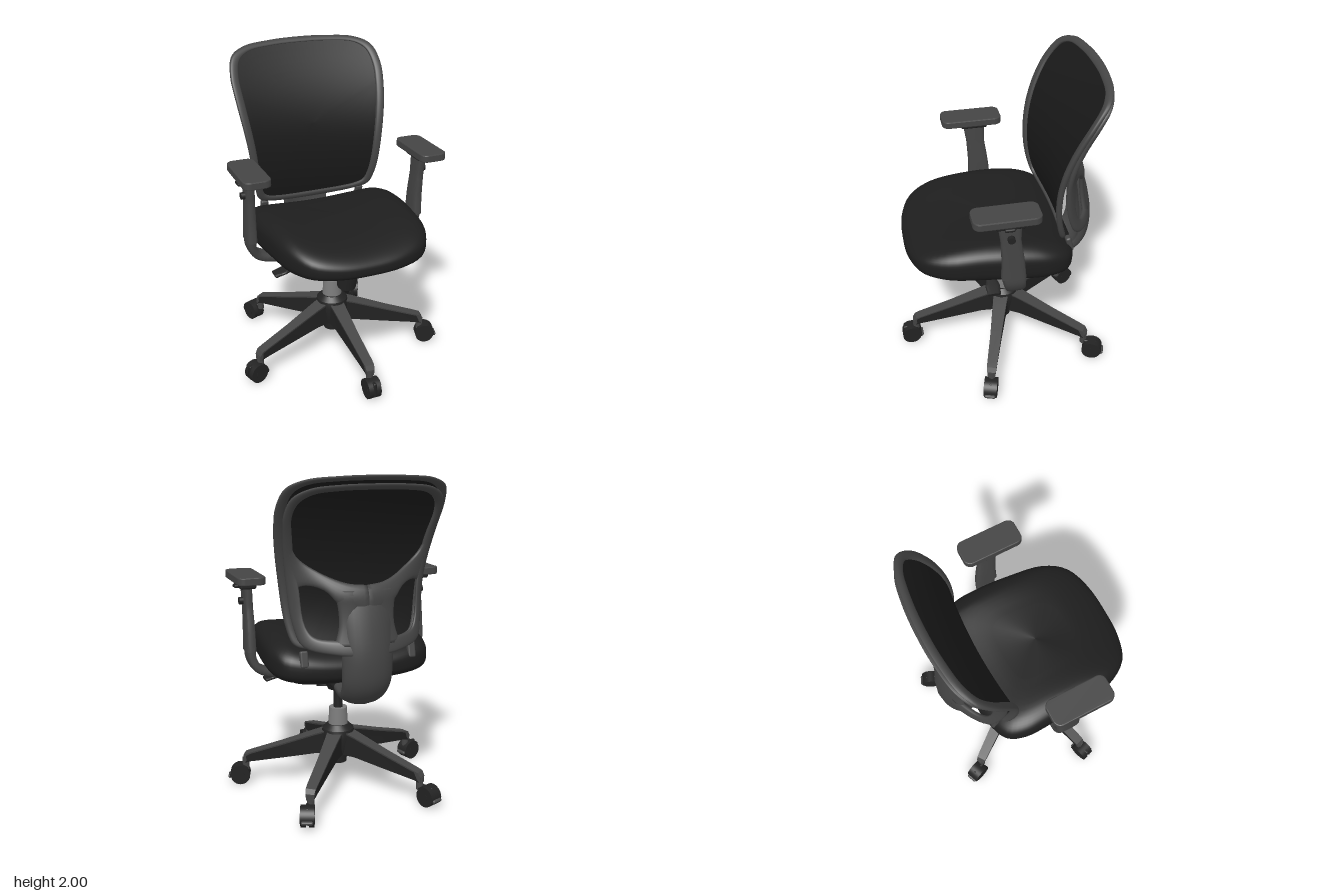
import * as THREE from 'three';
import { toCreasedNormals } from 'three/addons/utils/BufferGeometryUtils.js';
import { RoundedBoxGeometry } from 'three/addons/geometries/RoundedBoxGeometry.js';

const V = (x, y, z) => new THREE.Vector3(x, y, z);
const mat = (name, color) => {
  const m = new THREE.MeshStandardMaterial({ color, side: THREE.DoubleSide });
  m.name = name;
  return m;
};

// skin over a list of closed point rings; wrap joins last ring to first
function loft(rings, { wrap = false, cap = false, crease = 0 } = {}) {
  const n = rings[0].length, m = rings.length, pos = [], idx = [];
  rings.forEach(r => r.forEach(p => pos.push(p.x, p.y, p.z)));
  for (let i = 0; i < (wrap ? m : m - 1); i++) for (let j = 0; j < n; j++) {
    const k = (i + 1) % m, l = (j + 1) % n;
    idx.push(i * n + j, i * n + l, k * n + j, i * n + l, k * n + l, k * n + j);
  }
  if (cap) [0, m - 1].forEach(i => {
    const c = rings[i].reduce((a, p) => a.add(p), V(0, 0, 0)).divideScalar(n), ci = pos.length / 3;
    pos.push(c.x, c.y, c.z);
    for (let j = 0; j < n; j++) {
      const a = i * n + j, b = i * n + (j + 1) % n;
      i ? idx.push(a, b, ci) : idx.push(b, a, ci);
    }
  });
  const g = new THREE.BufferGeometry();
  g.setAttribute('position', new THREE.Float32BufferAttribute(pos, 3));
  g.setIndex(idx);
  g.computeVertexNormals();
  return crease ? toCreasedNormals(g, crease) : g;
}

// value from an evenly spaced list
function at(list, u) {
  if (!Array.isArray(list)) return list;
  const f = u * (list.length - 1), i = Math.min(Math.floor(f), list.length - 2);
  return THREE.MathUtils.lerp(list[i], list[i + 1], f - i);
}

// rounded flat section swept along a path; side is the fixed width direction
function sweep(pts, side, width, thick, bow = 0, steps = 28) {
  const curve = new THREE.CatmullRomCurve3(pts.map(p => V(...p))), rings = [];
  const pw = v => Math.sign(v) * Math.abs(v) ** 0.55;
  for (let i = 0; i <= steps; i++) {
    const u = i / steps, p = curve.getPoint(u), n = side.clone().cross(curve.getTangent(u)).normalize();
    const ring = [];
    for (let j = 0; j < 28; j++) {
      const a = j / 28 * Math.PI * 2, cx = pw(Math.cos(a)), cy = pw(Math.sin(a));
      ring.push(p.clone().addScaledVector(side, at(width, u) * cx)
        .addScaledVector(n, at(thick, u) * cy + at(bow, u) * cx * cx));
    }
    rings.push(ring);
  }
  return loft(rings, { cap: true, crease: 0.9 });
}

// symmetric closed outline from half of its points
function outline(half, count) {
  const all = half.concat(half.slice(1, -1).reverse().map(([x, y]) => [-x, y]));
  const c = new THREE.CatmullRomCurve3(all.map(([x, y]) => V(x, y, 0)), true);
  return Array.from({ length: count }, (_, i) => c.getPoint(i / count));
}

// flat bar between two edge lines, bent onto the surface z = zf(x, y)
function bar(A, B, zf, thick, wrap) {
  return loft(A.map((a, i) => Array.from({ length: 16 }, (_, j) => {
    const t = j / 16 * Math.PI * 2, p = a.clone().lerp(B[i], 0.5 + 0.5 * Math.cos(t));
    const s = Math.sin(t);
    return p.setZ(zf(p.x, p.y) + thick * Math.sign(s) * Math.abs(s) ** 0.6);
  })), { wrap, cap: !wrap });
}

export function createModel() {
  const fabric = mat('seat fabric', 0x1e1e1e), mesh = mat('back mesh', 0x1a1a1a);
  const grey = mat('grey plastic', 0x454545), black = mat('black plastic', 0x232323);
  const metal = mat('metal', 0x7c7c7c);
  const root = new THREE.Group();
  const X = V(1, 0, 0), Z = V(0, 0, 1);
  const add = (parent, name, geo, m, x = 0, y = 0, z = 0) => {
    const o = new THREE.Mesh(geo, m);
    o.name = name;
    o.position.set(x, y, z);
    parent.add(o);
    return o;
  };
  const group = (name, parent = root) => {
    const g = new THREE.Group();
    g.name = name;
    parent.add(g);
    return g;
  };
  const cyl = (a, b, h, n = 28) => new THREE.CylinderGeometry(a, b, h, n);

  // seat cushion and pan
  const plan = outline([[0, .6], [.2, .585], [.36, .52], [.45, .38], [.485, .15], [.505, -.1],
    [.5, -.25], [.45, -.36], [.3, -.42], [0, -.44]], 72);
  const top = (x, z) => 1.068 - .3 * (z - .1) ** 2 - .035 * (1 - Math.min(1, (x / .4) ** 2));
  const bottom = z => .79 + .05 * z;
  const seatRing = (s, yf) => plan.map(p => {
    const x = p.x * s, z = .08 + (p.y - .08) * s;
    return V(x, yf(x, z), z);
  });
  const cushion = [];
  for (let i = 0; i <= 32; i++) {
    const a = (i / 32 - .5) * Math.PI, sn = Math.sin(a);
    const s = Math.max(0, Math.cos(a)) ** .35, h = Math.sign(sn) * Math.abs(sn) ** .65;
    cushion.push(seatRing(s, (x, z) => (top(x, z) + bottom(z)) / 2 + h * (top(x, z) - bottom(z)) / 2));
  }
  add(root, 'seatCushion', loft(cushion), fabric);
  add(root, 'seatPan', loft([[.6, -.022], [.74, -.015], [.8, .02]].map(([s, d]) =>
    seatRing(s, (x, z) => bottom(z) + d)), { cap: true, crease: .6 }), black);

  // backrest: front rim and mesh panel
  const back = group('backrest');
  const zMesh = (x, y) => -.272 - .58 * (y - 1.3) ** 2 - .042 * (1 - (x / .5) ** 2);
  const rimOut = outline([[0, 2], [.2, 1.995], [.38, 1.977], [.475, 1.93], [.508, 1.83], [.503, 1.7],
    [.46, 1.4], [.42, 1.12], [.385, 1.03], [.3, 1], [0, .98]], 100);
  const rimIn = outline([[0, 1.97], [.2, 1.966], [.36, 1.948], [.43, 1.905], [.455, 1.82], [.449, 1.7],
    [.41, 1.4], [.372, 1.12], [.345, 1.06], [.28, 1.035], [0, 1.02]], 100);
  add(back, 'backRim', bar(rimOut, rimIn, zMesh, .018, true), grey);
  const panel = [];
  for (let i = 0; i <= 12; i++) panel.push(rimIn.map(p => {
    const q = V(0, 1.5, 0).lerp(p, 1.01 * i / 12);
    return q.setZ(zMesh(q.x, q.y));
  }));
  add(back, 'backMesh', loft(panel), mesh);

  // rear support frame, cupped backwards toward the spine
  const zRear = (x, y) => zMesh(x, y) - .048
    - .16 * (1 - THREE.MathUtils.smoothstep(y, 1.3, 1.62)) * Math.max(0, 1 - (x / .43) ** 2);
  const rearOut = outline([[0, 1.955], [.2, 1.95], [.36, 1.93], [.445, 1.88], [.472, 1.79], [.46, 1.65],
    [.43, 1.4], [.4, 1.15], [.36, 1.04], [.2, 1], [0, .99]], 100);
  const rearIn = outline([[0, 1.92], [.2, 1.915], [.34, 1.895], [.405, 1.85], [.428, 1.78], [.41, 1.65],
    [.37, 1.4], [.34, 1.15], [.3, 1.095], [.2, 1.08], [0, 1.08]], 100);
  add(back, 'rearFrame', bar(rearOut, rearIn, zRear, .018, true), grey);
  const line = pts => new THREE.CatmullRomCurve3(pts.map(([x, y]) => V(x, y, 0))).getPoints(20);
  for (const s of [1, -1]) {
    const half = group(s > 0 ? 'leftRearFrame' : 'rightRearFrame', back);
    half.scale.x = s;
    add(half, 'rearArm', bar(line([[.435, 1.68], [.38, 1.55], [.26, 1.46], [.12, 1.4], [0, 1.385]]),
      line([[.4, 1.36], [.33, 1.385], [.24, 1.36], [.16, 1.28], [0, 1.2]]), zRear, .018), grey);
    add(half, 'windowPost', bar(line([[.2, 1.36], [.175, 1.28], [.17, 1.16], [.2, 1.05]]),
      line([[.05, 1.36], [.05, 1.28], [.05, 1.16], [.05, 1.05]]), zRear, .018), grey);
    add(half, 'backTab', new RoundedBoxGeometry(.05, .1, .035, 2, .012), grey, .34, .95, -.385).rotation.x = .25;
  }
  add(back, 'spine', sweep([[0, 1.37, -.475], [0, 1.3, -.505], [0, 1.14, -.55], [0, .95, -.578], [0, .8, -.56],
    [0, .71, -.485], [0, .682, -.36], [0, .69, -.22], [0, .73, -.08]], X,
    [.12, .15, .155, .155, .15, .14, .12, .09, .07], [.018, .025, .03, .033, .033, .033, .03, .03, .03],
    [-.01, -.03, -.05, -.06, -.055, -.045, -.03, -.01, 0], 40), grey);

  // arms
  const padShape = new THREE.Shape();
  [[.04, .15, 0], [-.04, .15, 1], [-.04, -.15, 2], [.04, -.15, 3]].forEach(([x, z, q]) =>
    padShape.absarc(x, z, .045, q * Math.PI / 2, (q + 1) * Math.PI / 2));
  const padGeo = new THREE.ExtrudeGeometry(padShape, { depth: .035, bevelThickness: .006, bevelSize: .006,
    bevelOffset: -.006, bevelSegments: 2, curveSegments: 8 }).rotateX(-Math.PI / 2);
  for (const s of [1, -1]) {
    const arm = group(s > 0 ? 'leftArm' : 'rightArm');
    arm.scale.x = s;
    add(arm, 'armPad', padGeo, grey, .565, 1.358, .06);
    add(arm, 'padBracket', new RoundedBoxGeometry(.1, .045, .17, 2, .012), black, .57, 1.337, .04);
    add(arm, 'armPost', sweep([[.565, 1.33, .04], [.562, 1.2, .03], [.56, 1.05, .015], [.56, .93, .01]], Z,
      [.07, .06, .067, .074], [.026, .026, .03, .032]), grey);
    add(arm, 'armBend', sweep([[.56, .95, .008], [.555, .88, 0], [.52, .82, -.01], [.44, .785, -.01], [.28, .765, -.01]], Z,
      [.07, .065, .06, .055, .05], .027), grey);
    add(arm, 'armButton', cyl(.022, .022, .03, 18).rotateZ(Math.PI / 2), black, .598, 1.235, .035);
    add(arm, 'padLever', new RoundedBoxGeometry(.04, .02, .06, 2, .008), black, .62, 1.325, .05);
    // under-seat control lever
    add(arm, 'leverRod', sweep([[.06, .775, .1], [.2, .765, .1], [.33, .735, .1]], Z, .014, .01), black);
    add(arm, 'leverPaddle', sweep([[.3, .742, .1], [.38, .722, .1], [.445, .705, .1]], Z, [.025, .045, .04], .011), black);
  }

  // tilt mechanism
  const mech = group('mechanism');
  add(mech, 'mechanismBody', sweep([[0, .768, .27], [0, .758, .1], [0, .735, -.05], [0, .71, -.2]], X,
    [.08, .12, .12, .09], [.02, .035, .05, .035]), black);
  add(mech, 'mechanismNeck', cyl(.11, .065, .1), black, 0, .69, -.04);
  add(mech, 'tensionStem', cyl(.03, .03, .1), black, 0, .72, .195).rotation.x = .15;
  add(mech, 'tensionKnob', cyl(.065, .06, .1), black, 0, .635, .21).rotation.x = .2;

  // column and hub
  const base = group('base');
  base.position.z = -.04;
  add(base, 'gasRod', cyl(.03, .03, .22), black, 0, .58, 0);
  add(base, 'columnSleeve', cyl(.057, .064, .13), metal, 0, .45, 0);
  add(base, 'hub', toCreasedNormals(new THREE.LatheGeometry([[0, .145], [.055, .145], [.06, .2], [.085, .22], [.11, .33],
    [.1, .375], [.07, .405], [0, .41]].map(p => new THREE.Vector2(...p)), 32), .5), black);

  // five legs with twin-wheel casters
  const legRing = ([r, yt, yb, w]) => [V(-w, yt, r), V(w, yt, r), V(w * .85, yb, r), V(-w * .85, yb, r)];
  const legBody = loft([[.04, .365, .21, .055], [.15, .335, .21, .046], [.35, .272, .182, .037],
    [.57, .208, .155, .031], [.605, .19, .145, .028]].map(legRing), { cap: true, crease: .4 });
  const legCap = loft([[.05, .374, .35, .05], [.15, .345, .318, .044], [.35, .282, .255, .036],
    [.57, .218, .19, .032], [.6, .208, .155, .03], [.617, .18, .14, .027]].map(legRing), { cap: true, crease: .4 });
  const wheel = cyl(.062, .062, .03, 24).rotateZ(Math.PI / 2);
  const hood = new THREE.CylinderGeometry(.067, .067, .084, 20, 1, false, -.5, 2.6).rotateZ(Math.PI / 2);
  const swivel = [Math.PI, 0, .25, -.25, Math.PI], reach = [.635, .635, .662, .662, .635];
  for (let i = 0; i < 5; i++) {
    const leg = group('leg', base);
    leg.rotation.y = i * Math.PI * .4;
    add(leg, 'legBody', legBody, black);
    add(leg, 'legTop', legCap, grey);
    add(leg, 'casterStem', cyl(.022, .022, .08, 16), grey, 0, .135, .6);
    const caster = group('caster', leg);
    caster.position.set(0, .064, reach[i]);
    caster.rotation.y = swivel[i];
    for (const s of [1, -1]) add(caster, 'wheel', wheel, black, s * .025, 0, 0);
    add(caster, 'wheelAxle', cyl(.025, .025, .085, 16).rotateZ(Math.PI / 2), black);
    add(caster, 'casterBody', new RoundedBoxGeometry(.022, .1, .09, 2, .008), black, 0, .012, -.01);
    add(caster, 'wheelHood', hood, black).rotation.x = -.3;
    add(caster, 'casterNose', new RoundedBoxGeometry(.07, .022, .05, 2, .009), grey, 0, -.005, .055).rotation.x = .35;
  }
  return root;
}
